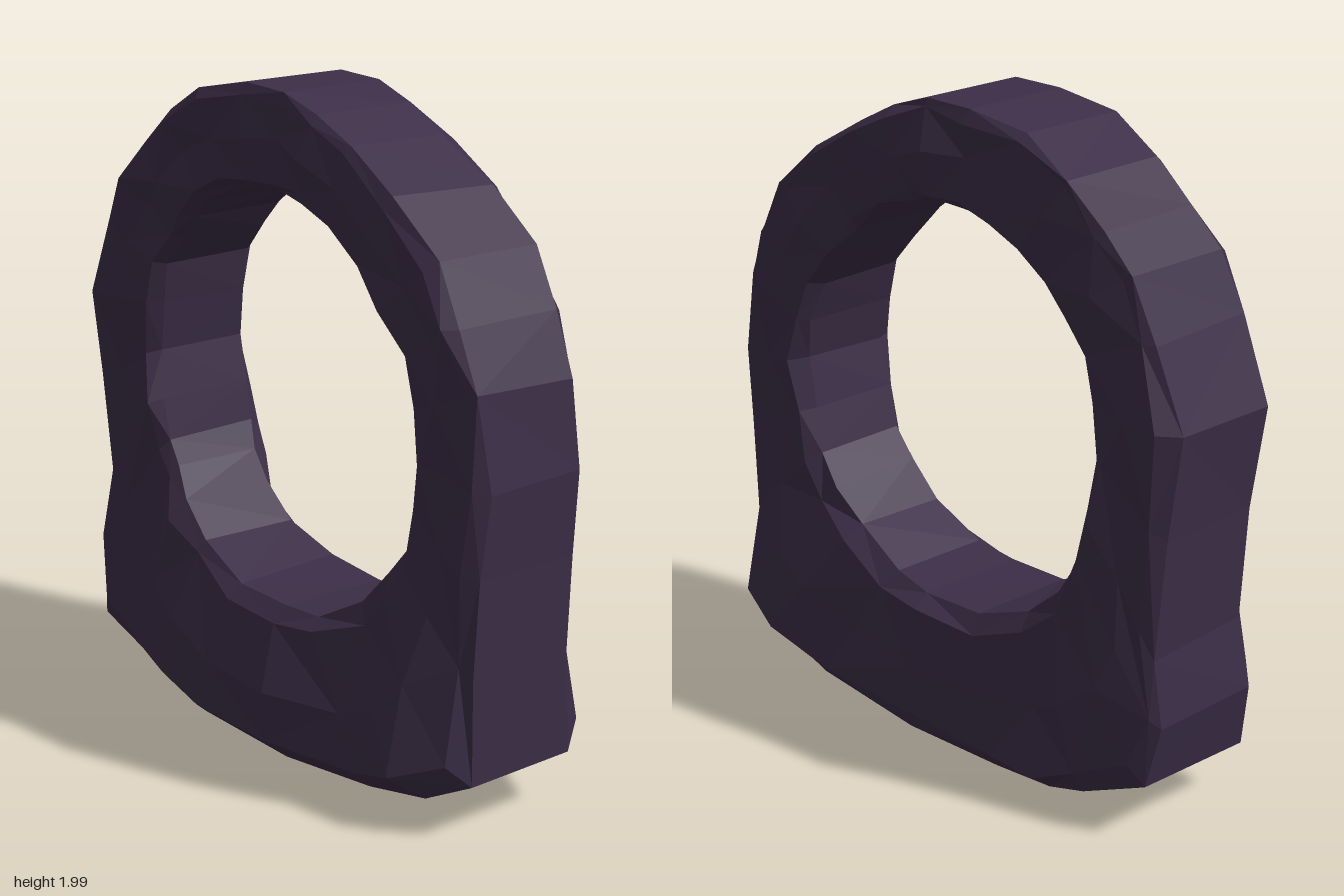
import * as THREE from 'three';

// Outer and inner outlines of the arch as [z, y], paired station by station
const OUTER = [
  [0.05, 2.0], [0.2, 1.95], [0.33, 1.89], [0.53, 1.78], [0.7, 1.63], [0.8, 1.48], [0.89, 1.31],
  [0.92, 1.05], [0.9, 0.8], [0.89, 0.5], [0.9, 0.17], [0.76, 0.1], [0.53, 0.06], [0.14, 0.0],
  [-0.25, 0.01], [-0.48, 0.04], [-0.64, 0.1], [-0.84, 0.16], [-0.89, 0.36], [-0.86, 0.58], [-0.88, 0.93],
  [-0.92, 1.24], [-0.82, 1.48], [-0.74, 1.65], [-0.64, 1.75], [-0.51, 1.87], [-0.34, 1.96], [-0.14, 2.0],
];
const INNER = [
  [0.02, 1.7], [0.12, 1.68], [0.24, 1.64], [0.36, 1.55], [0.46, 1.44], [0.55, 1.33], [0.6, 1.2],
  [0.64, 1.07], [0.61, 0.92], [0.57, 0.78], [0.5, 0.69], [0.4, 0.59], [0.23, 0.48], [0.08, 0.47],
  [-0.14, 0.47], [-0.33, 0.55], [-0.45, 0.65], [-0.51, 0.74], [-0.55, 0.82], [-0.57, 0.95], [-0.6, 1.1],
  [-0.57, 1.25], [-0.55, 1.38], [-0.47, 1.47], [-0.41, 1.55], [-0.31, 1.62], [-0.21, 1.67], [-0.09, 1.69],
];

// Half width of the lumpy foot along z, as [z, width], for each side
const FOOT_RIGHT = [[-0.9, 0.2], [-0.78, 0.27], [-0.56, 0.24], [-0.3, 0.29], [-0.05, 0.265], [0.17, 0.305], [0.45, 0.255], [0.68, 0.305], [0.89, 0.2]];
const FOOT_LEFT = [[-0.9, 0.21], [-0.68, 0.285], [-0.54, 0.285], [-0.38, 0.25], [0, 0.3], [0.25, 0.235], [0.42, 0.27], [0.65, 0.295], [0.89, 0.26]];

// Cross-section loop: side, depth from outer to inner edge, inset from full width, roughness
const SECTION = [
  [-1, 0, 0.025, 0.7], [1, 0, 0.025, 0.7],
  [1, 0.12, 0, 0.9], [1, 0.48, 0, 0.9], [1, 0.9, 0.01, 0.8], [1, 1, 0.045, 0.6],
  [-1, 1, 0.045, 0.6], [-1, 0.9, 0.01, 0.8], [-1, 0.48, 0, 0.9], [-1, 0.12, 0, 0.9],
];

// Seeded noise in -1..1
function makeNoise(seed) {
  return () => {
    seed = (seed * 16807) % 2147483647;
    return (seed / 2147483647) * 2 - 1;
  };
}

function sample(table, z) {
  const k = Math.max(1, table.findIndex(([tz]) => tz >= z));
  const [z0, w0] = table[k - 1];
  const [z1, w1] = table[k];
  return THREE.MathUtils.lerp(w0, w1, THREE.MathUtils.clamp((z - z0) / (z1 - z0), 0, 1));
}

// Slim arch flaring to the wide foot, with the strip round the outside kept narrow
function halfWidth(side, y, z, onStrip) {
  const foot = sample(side < 0 ? FOOT_RIGHT : FOOT_LEFT, THREE.MathUtils.clamp(z, -0.9, 0.89));
  const flare = 1 - THREE.MathUtils.smoothstep(y, 0.1, 0.75);
  const base = side < 0 ? 0.19 : 0.21;
  return base + (foot - base) * flare * (onStrip ? 0.65 : 1);
}

function buildRing() {
  const noise = makeNoise(4711);
  const n = OUTER.length;
  const m = SECTION.length;
  const rows = OUTER.map((outer, i) => {
    const next = (i + 1) % n;
    return SECTION.map(([side, depth, inset, rough]) => {
      // slide each corner a little along the ring so the facets stagger
      const slide = Math.abs(noise()) * 0.1;
      const jitter = noise();
      const t = depth === 0 ? Math.abs(jitter) * 0.02 : depth === 1 ? 1 - Math.abs(jitter) * 0.03 : depth + jitter * 0.04;
      const at = (k) => THREE.MathUtils.lerp(
        THREE.MathUtils.lerp(outer[k], INNER[i][k], t),
        THREE.MathUtils.lerp(OUTER[next][k], INNER[next][k], t), slide);
      const z = at(0);
      const y = at(1);
      const x = side * (halfWidth(side, y, z, depth === 0) - inset + noise() * 0.024 * rough);
      return [x, y, z];
    });
  });
  const positions = [];
  for (let i = 0; i < n; i++) {
    for (let j = 0; j < m; j++) {
      const a = rows[i][j];
      const b = rows[(i + 1) % n][j];
      const c = rows[(i + 1) % n][(j + 1) % m];
      const d = rows[i][(j + 1) % m];
      // alternate the diagonals for a chipped look
      if ((i + j) % 2) positions.push(...a, ...b, ...d, ...b, ...c, ...d);
      else positions.push(...a, ...b, ...c, ...a, ...c, ...d);
    }
  }
  const geometry = new THREE.BufferGeometry();
  geometry.setAttribute('position', new THREE.Float32BufferAttribute(positions, 3));
  geometry.computeVertexNormals();
  return geometry;
}

export function createModel() {
  const group = new THREE.Group();
  group.name = 'stoneArch';
  const material = new THREE.MeshStandardMaterial({ color: 0x3c2e47, flatShading: true });
  const ring = new THREE.Mesh(buildRing(), material);
  ring.name = 'stoneRing';
  group.add(ring);
  return group;
}
